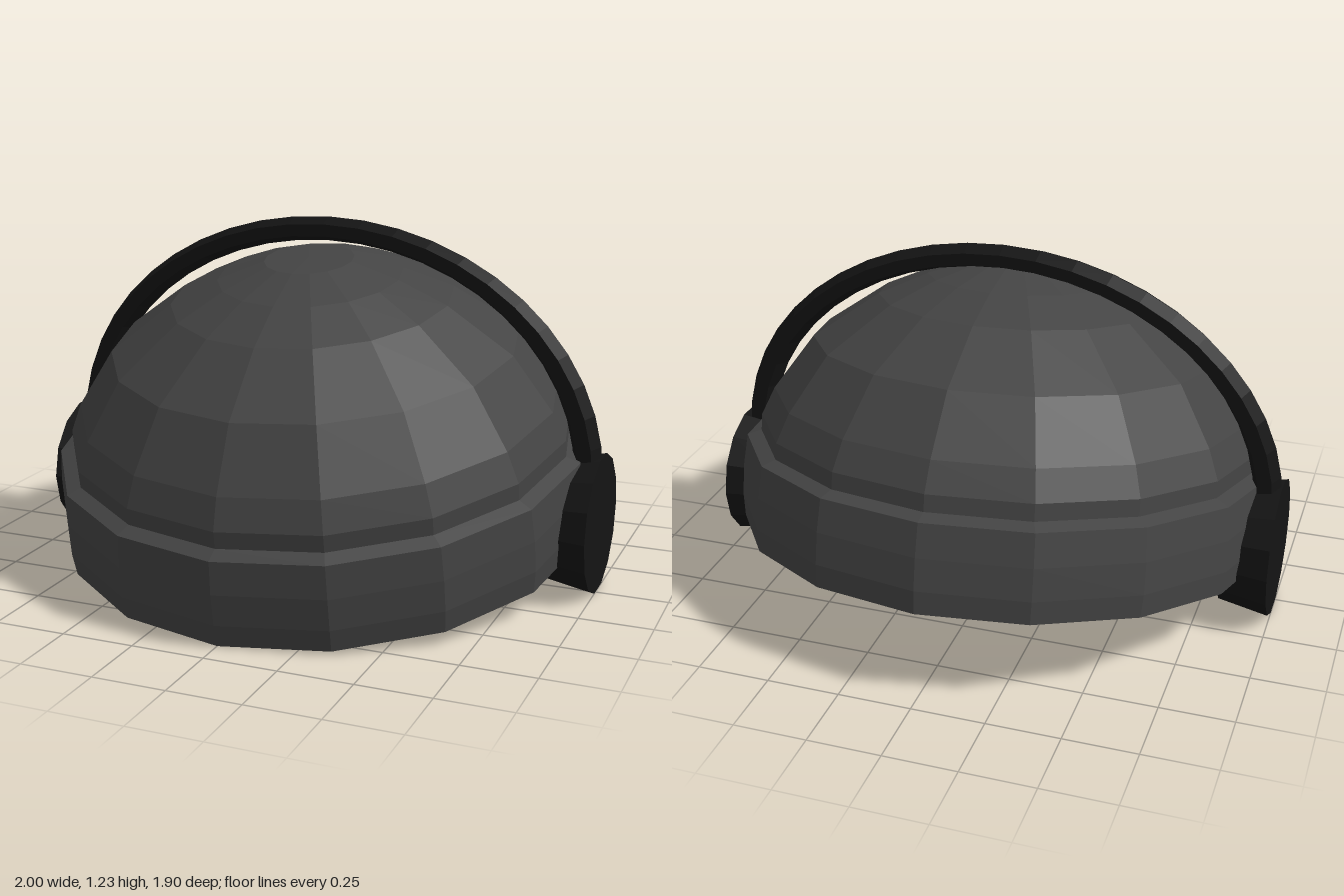
import * as THREE from 'three';

export function createModel() {
  const model = new THREE.Group();
  const knit = new THREE.MeshStandardMaterial({ color: 0x444444, flatShading: true });
  const dark = new THREE.MeshStandardMaterial({ color: 0x141414, flatShading: true });

  const add = (parent, name, geometry, material) => {
    const mesh = new THREE.Mesh(geometry, material);
    mesh.name = name;
    parent.add(mesh);
    return mesh;
  };
  const lathe = (points) =>
    new THREE.LatheGeometry(points.map(([r, h]) => new THREE.Vector2(r, h)), 16);

  // Cap, tilted so the front edge sits lower than the back
  const cap = new THREE.Group();
  cap.name = 'cap';
  cap.position.set(0, 0.165, -0.025);
  cap.rotation.x = THREE.MathUtils.degToRad(10);
  model.add(cap);

  // Folded cuff with a closed underside and a narrow ledge on top
  add(cap, 'cuff', lathe([
    [0, 0], [0.94, 0], [0.949, 0.08], [0.948, 0.19], [0.936, 0.303], [0.887, 0.322],
  ]), knit);

  // Rounded crown with a small, nearly flat top
  add(cap, 'crown', lathe([
    [0.887, 0.322], [0.886, 0.38], [0.843, 0.48], [0.711, 0.672],
    [0.488, 0.832], [0.32, 0.91], [0.155, 0.965], [0, 0.972],
  ]), knit);

  // Headband: half ring with a six-sided section
  const band = add(model, 'headband', new THREE.TorusGeometry(0.95, 0.05, 6, 24, Math.PI), dark);
  band.scale.set(1, 0.835, 1.2);
  band.position.set(0, 0.4, -0.033);

  // Ear cups, widening outwards
  for (const [name, side] of [['leftEarCup', 1], ['rightEarCup', -1]]) {
    const cup = add(model, name, new THREE.CylinderGeometry(0.242, 0.21, 0.175, 14), dark);
    cup.rotation.z = -side * Math.PI / 2;
    cup.position.set(side * 0.9125, 0.238, -0.035);
  }

  return model;
}
